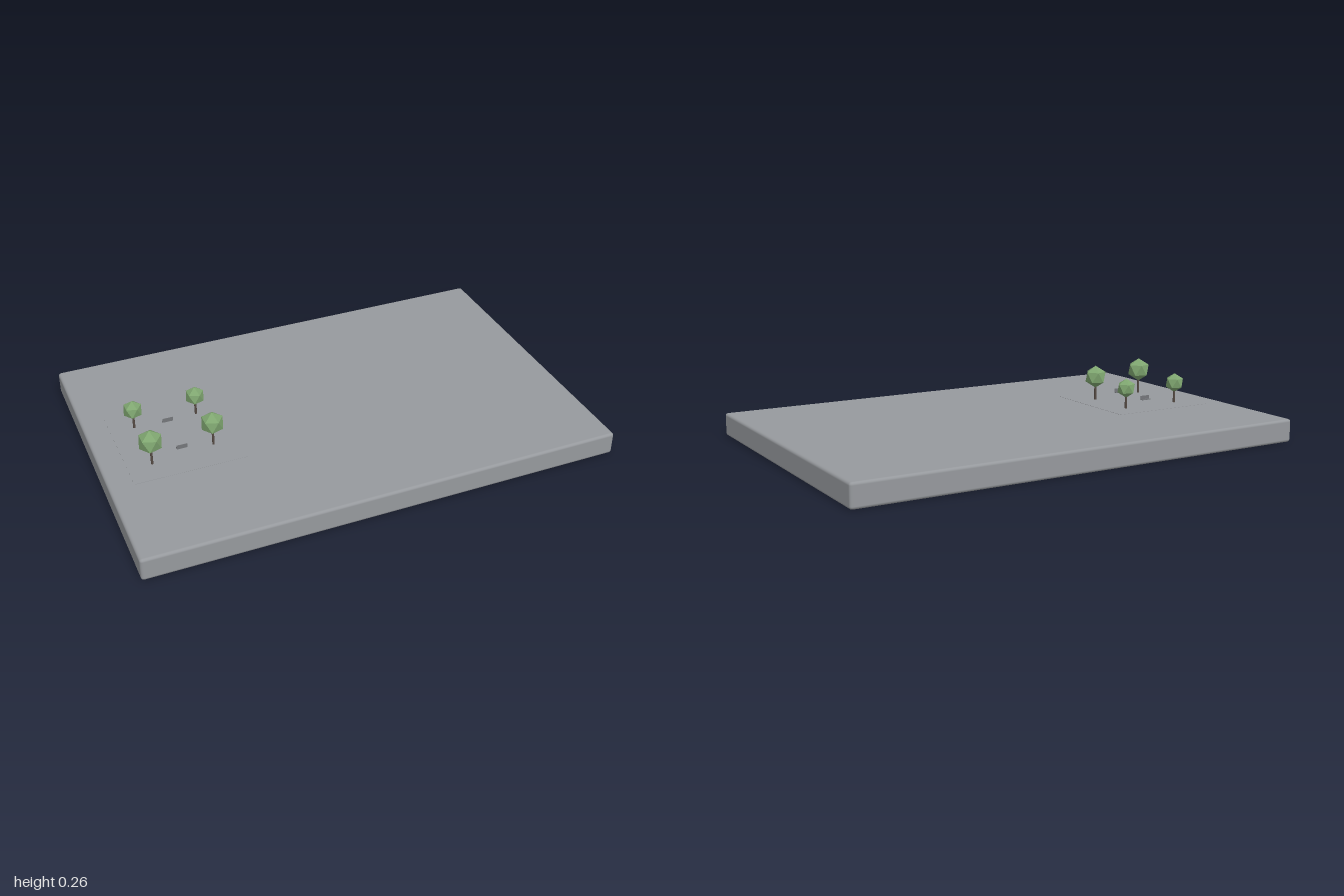
import * as THREE from 'three';
import { RoundedBoxGeometry } from 'three/addons/geometries/RoundedBoxGeometry.js';
import { ConvexGeometry } from 'three/addons/geometries/ConvexGeometry.js';

const SLAB_TOP = 0.098;

function material(name, color) {
  const m = new THREE.MeshStandardMaterial({ color });
  m.name = name;
  return m;
}

function addMesh(parent, name, geometry, mat, x, y, z) {
  const mesh = new THREE.Mesh(geometry, mat);
  mesh.name = name;
  mesh.position.set(x, y, z);
  parent.add(mesh);
  return mesh;
}

// Twenty-sided ball standing on one vertex, flat faceted
function crownGeometry(radius) {
  const points = [new THREE.Vector3(0, radius, 0), new THREE.Vector3(0, -radius, 0)];
  const ring = radius * 2 / Math.sqrt(5);
  const height = radius / Math.sqrt(5);
  for (let i = 0; i < 10; i++) {
    const a = i * Math.PI / 5;
    points.push(new THREE.Vector3(Math.cos(a) * ring, i % 2 ? -height : height, Math.sin(a) * ring));
  }
  return new ConvexGeometry(points);
}

export function createModel() {
  const model = new THREE.Group();
  model.name = 'plaza';
  const paving = material('paving grey', 0x96999d);
  const bark = material('bark', 0x574c45);
  const leaves = material('leaf green', 0x7fa670);
  const benchGrey = material('bench grey', 0x74767a);

  // Base slab with softened edges
  addMesh(model, 'slab', new RoundedBoxGeometry(2, SLAB_TOP, 1.333, 2, 0.012), paving, 0, SLAB_TOP / 2, 0);

  // Thin square of paving under the trees
  addMesh(model, 'gardenPlate', new THREE.BoxGeometry(0.467, 0.004, 0.467), paving, -0.667, SLAB_TOP - 0.001, 0);

  // Trees: x, z, crown radius, crown top
  const trees = [
    [-0.8, 0.133, 0.052, 0.26],
    [-0.535, 0.1, 0.05, 0.253],
    [-0.8, -0.133, 0.042, 0.23],
    [-0.535, -0.133, 0.042, 0.23],
  ];
  for (const [x, z, radius, top] of trees) {
    const tree = new THREE.Group();
    tree.name = 'tree';
    tree.position.set(x, 0, z);
    const crownY = top - radius;
    const trunkHeight = crownY - SLAB_TOP;
    addMesh(tree, 'trunk', new THREE.CylinderGeometry(0.005, 0.005, trunkHeight, 8), bark, 0, SLAB_TOP + trunkHeight / 2, 0);
    const crownMaterial = leaves;
    addMesh(tree, 'crown', crownGeometry(radius), crownMaterial, 0, crownY, 0);
    model.add(tree);
  }

  // Benches: a seat with an upright back along its +z edge
  for (const z of [0.099, -0.1]) {
    const bench = new THREE.Group();
    bench.name = 'bench';
    bench.position.set(-0.667, 0, z);
    addMesh(bench, 'seat', new THREE.BoxGeometry(0.044, 0.003, 0.013), benchGrey, 0, 0.1195, 0);
    addMesh(bench, 'backrest', new THREE.BoxGeometry(0.044, 0.016, 0.002), benchGrey, 0, 0.128, 0.0055);
    model.add(bench);
  }
  return model;
}
